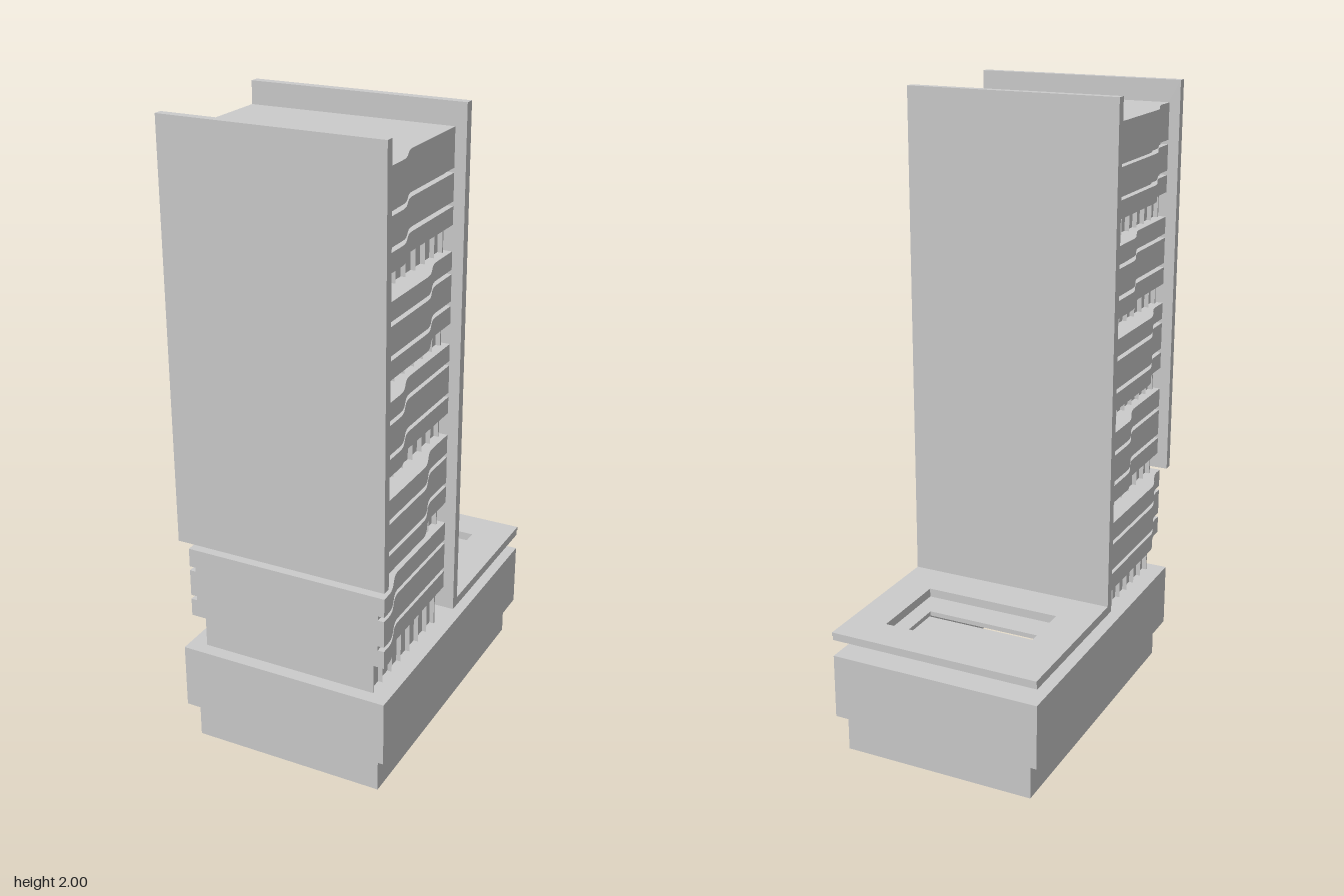
import * as THREE from 'three';
import { toCreasedNormals } from 'three/addons/utils/BufferGeometryUtils.js';

const grey = new THREE.MeshStandardMaterial({ color: 0xcccccc });
const greyThin = new THREE.MeshStandardMaterial({ color: 0xcccccc, side: THREE.DoubleSide });

const rect = (x, z0, z1) => [[-x, z0], [x, z0], [x, z1], [-x, z1]];

// Horizontal plate from an [x, z] outline, with optional holes, between two heights
function plate(parent, name, outline, y0, y1, holes = []) {
  const toPoints = (pts) => pts.map(([x, z]) => new THREE.Vector2(x, -z));
  const shape = new THREE.Shape(toPoints(outline));
  // holes run the opposite way round so that their walls face inwards
  for (const h of holes) shape.holes.push(new THREE.Path(toPoints(h).reverse()));
  const geo = new THREE.ExtrudeGeometry(shape, { depth: y1 - y0, bevelEnabled: false });
  geo.rotateX(-Math.PI / 2);
  geo.translate(0, y0, 0);
  const mesh = new THREE.Mesh(toCreasedNormals(geo, 0.5), grey);
  mesh.name = name;
  parent.add(mesh);
}

function box(parent, name, x0, x1, y0, y1, z0, z1) {
  const mesh = new THREE.Mesh(new THREE.BoxGeometry(x1 - x0, y1 - y0, z1 - z0), grey);
  mesh.position.set((x0 + x1) / 2, (y0 + y1) / 2, (z0 + z1) / 2);
  mesh.name = name;
  parent.add(mesh);
}

// Outline whose two long sides swing by an S-curve centred on zc
function waveOutline(z0, z1, zc, inset = 0) {
  const right = [], left = [], n = 32;
  for (let i = 0; i <= n; i++) {
    const z = z0 + (z1 - z0) * i / n;
    const s = 0.035 * THREE.MathUtils.smoothstep(z, zc - 0.067, zc + 0.067);
    right.push([0.31 + s - inset, z]);
    left.push([-0.345 + s + inset, z]);
  }
  return [...right, ...left.reverse()];
}

export function createModel() {
  const model = new THREE.Group();
  model.name = 'tower';

  // Hollow plinth and podium, open underneath
  const inner = rect(0.31, -0.5, 0.5);
  const coreHole = rect(0.27, 0.07, 0.47);
  const courtHole = rect(0.225, -0.41, -0.13);
  plate(model, 'plinth', rect(0.315, -0.505, 0.508), 0, 0.12, [inner]);
  plate(model, 'podiumWalls', rect(0.345, -0.527, 0.533), 0.12, 0.315, [inner]);
  plate(model, 'podiumRoof', rect(0.345, -0.527, 0.533), 0.315, 0.33, [coreHole, courtHole]);
  box(model, 'courtFloor', -0.24, 0.24, 0.295, 0.302, -0.425, -0.115);

  // Canopy with a rectangular opening over the court
  plate(model, 'canopy', rect(0.345, -0.526, 0), 0.384, 0.4, [courtHole]);
  plate(model, 'canopyLip', rect(0.345, -0.531, 0), 0.4, 0.412, [courtHole]);

  // Tall slabs at front and back
  box(model, 'backSlab', -0.345, 0.345, 0.384, 2, 0, 0.03);
  box(model, 'frontSlab', -0.345, 0.345, 0.707, 2, 0.505, 0.533);

  // Hollow core behind the fins
  plate(model, 'core', rect(0.275, 0.05, 0.49), 0.33, 1.9, [coreHole]);

  // Banded floors: [bottom, top, centre of the S-curve, front edge, groove heights]
  const bands = [
    [0.457, 0.688, 0.435, 0.533, [0.521, 0.621]],
    [0.758, 0.988, 0.207, 0.506, [0.82, 0.92]],
    [1.06, 1.283, 0.373, 0.506, [1.12, 1.222]],
    [1.347, 1.568, 0.207, 0.506, [1.409, 1.506]],
    [1.647, 1.93, 0.373, 0.506, [1.709, 1.806]],
  ];
  let below = 0.33;
  bands.forEach(([y0, y1, zc, front, grooves], i) => {
    const band = new THREE.Group();
    band.name = 'balconyBand' + (i + 1);
    model.add(band);
    const outline = waveOutline(0.03, front, zc);
    const fill = waveOutline(0.05, i === 0 ? front : 0.49, zc, 0.02);
    let y = y0;
    for (const g of grooves) {
      plate(band, 'parapet', outline, y, g - 0.007);
      plate(band, 'groove', fill, g - 0.007, g + 0.007);
      y = g + 0.007;
    }
    plate(band, 'parapet', outline, y, y1);

    // Recessed storey below the band: end walls and thin upright fins on both sides
    const storey = new THREE.Group();
    storey.name = 'recessedStorey' + (i + 1);
    model.add(storey);
    for (const z of [0.05, 0.484]) box(storey, 'endWall', -0.29, 0.29, below, y0, z, z + 0.006);
    for (const side of [-1, 1]) {
      for (let k = 1; k < 7; k++) {
        const fin = new THREE.Mesh(new THREE.PlaneGeometry(0.035, y0 - below), greyThin);
        fin.position.set(side * 0.2725, (below + y0) / 2, 0.05 + 0.44 * k / 7);
        fin.name = 'fin';
        storey.add(fin);
      }
    }
    below = y1;
  });

  return model;
}
